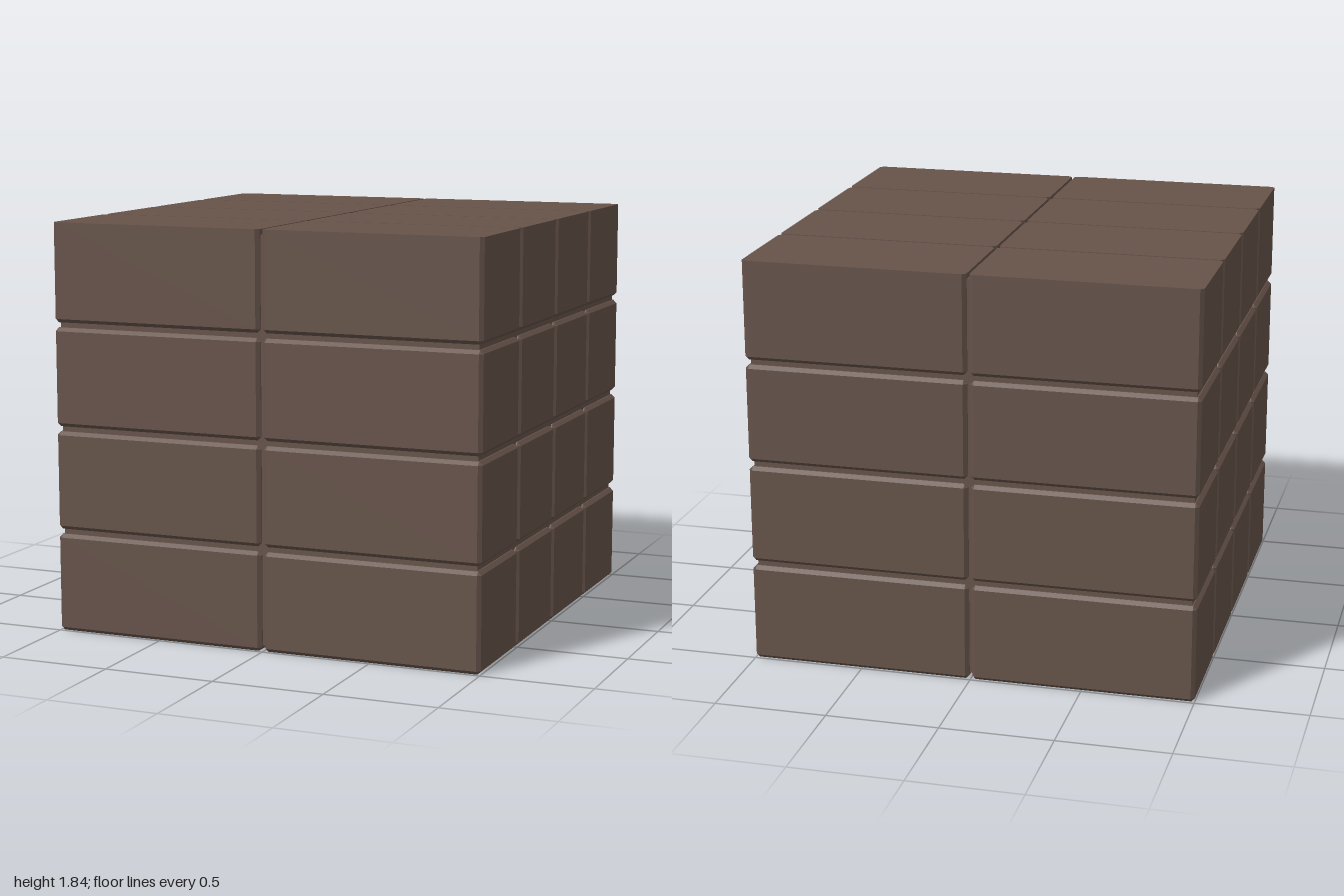
import * as THREE from 'three';
import { ConvexGeometry } from 'three/addons/geometries/ConvexGeometry.js';

const COLUMNS = 2, ROWS = 4, LAYERS = 4;
const GAP = 0.013, BEVEL = 0.016;
const BRICK = { x: (2 - GAP) / COLUMNS, y: 0.443, z: (2 - GAP * (LAYERS - 1)) / LAYERS };
const ROW_PITCH = 0.4655;
const HEIGHT = ROW_PITCH * (ROWS - 1) + BRICK.y;

// Box with every edge chamfered; a flat top keeps its upper rim sharp
function brickGeometry(flatTop) {
  const x = BRICK.x / 2, y = BRICK.y / 2, z = BRICK.z / 2, b = BEVEL;
  const points = [];
  for (const sx of [-1, 1]) for (const sy of [-1, 1]) for (const sz of [-1, 1]) {
    const sharp = flatTop && sy > 0;
    const shoulder = sharp ? y : y - b;
    points.push(new THREE.Vector3(sx * x, sy * shoulder, sz * (z - b)));
    points.push(new THREE.Vector3(sx * (x - b), sy * shoulder, sz * z));
    if (!sharp) points.push(new THREE.Vector3(sx * (x - b), sy * y, sz * (z - b)));
  }
  return new ConvexGeometry(points);
}

export function createModel() {
  const group = new THREE.Group();
  group.name = 'brickStack';

  const brown = new THREE.MeshStandardMaterial({ color: 0x66534a });
  brown.name = 'brown';

  // Recessed core that closes the joints
  const inset = 0.022;
  const core = new THREE.Mesh(
    new THREE.BoxGeometry(2 - 2 * inset, HEIGHT - 2 * inset - 0.006, 2 - 2 * inset), brown);
  core.name = 'core';
  core.position.y = HEIGHT / 2;
  group.add(core);

  // Grid of bricks, with flat tops on the uppermost row
  const bevelled = brickGeometry(false);
  const capped = brickGeometry(true);
  for (let row = 0; row < ROWS; row++) {
    const course = new THREE.Group();
    course.name = `course${row + 1}`;
    course.position.y = row * ROW_PITCH + BRICK.y / 2;
    for (let col = 0; col < COLUMNS; col++) {
      for (let layer = 0; layer < LAYERS; layer++) {
        const brick = new THREE.Mesh(row === ROWS - 1 ? capped : bevelled, brown);
        brick.name = 'brick';
        brick.position.x = (col - (COLUMNS - 1) / 2) * (BRICK.x + GAP);
        brick.position.z = (layer - (LAYERS - 1) / 2) * (BRICK.z + GAP);
        course.add(brick);
      }
    }
    group.add(course);
  }
  return group;
}
